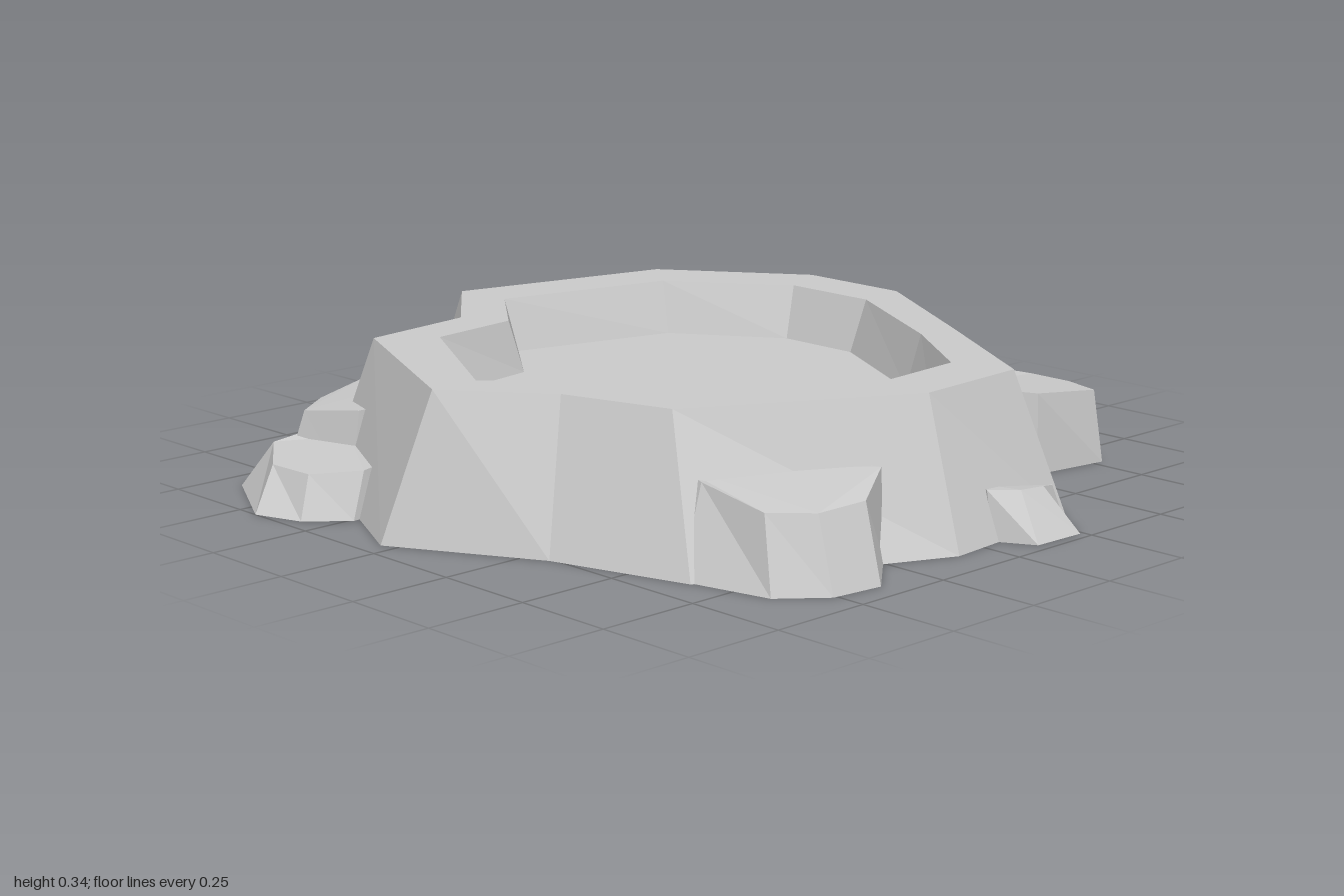
import * as THREE from 'three';

const material = new THREE.MeshStandardMaterial({ color: 0xcccccc, flatShading: true, side: THREE.DoubleSide });

// Skin a stack of rings (each a loop of [x, y, z]) and close the last one
function loft(name, rings) {
  const flat = ring => ring.map(([x, , z]) => new THREE.Vector2(x, z));
  if (THREE.ShapeUtils.area(flat(rings[0])) < 0) rings = rings.map(r => [...r].reverse());
  const n = rings[0].length, index = [];
  for (let r = 0; r < rings.length - 1; r++) {
    for (let i = 0; i < n; i++) {
      const a = r * n + i, b = r * n + (i + 1) % n;
      index.push(a, a + n, b + n, a, b + n, b);
    }
  }
  // Cap, with every triangle turned to face up
  const cap = flat(rings.at(-1)), start = (rings.length - 1) * n;
  for (const [a, b, c] of THREE.ShapeUtils.triangulateShape(cap, [])) {
    const up = cap[b].clone().sub(cap[a]).cross(cap[c].clone().sub(cap[a])) < 0;
    index.push(start + a, start + (up ? b : c), start + (up ? c : b));
  }
  let geometry = new THREE.BufferGeometry();
  geometry.setAttribute('position', new THREE.Float32BufferAttribute(rings.flat(2), 3));
  geometry.setIndex(index);
  geometry = geometry.toNonIndexed();
  geometry.computeVertexNormals();
  const mesh = new THREE.Mesh(geometry, material);
  mesh.name = name;
  return mesh;
}

const level = (y, points) => points.map(([x, z]) => [x, y, z]);

// Basin outlines as [x, z]
const base = [[-.95, -.04], [-.69, -.58], [-.26, -.76], [0, -.9], [.64, -.785], [.88, -.27],
  [.85, .08], [.59, .47], [.32, .87], [-.09, .905], [-.66, .65], [-.76, .31]];
const rim = [[-.835, .01], [-.6, -.5], [-.3, -.54], [-.09, -.79], [.47, -.66], [.71, -.32],
  [.71, -.02], [.475, .38], [.24, .77], [-.07, .79], [-.58, .51], [-.66, .24]];
const lip = [[-.71, .01], [-.48, -.4], [-.24, -.43], [-.075, -.64], [.375, -.535], [.575, -.255],
  [.575, 0], [.37, .37], [.19, .625], [-.055, .645], [-.47, .42], [-.54, .2]];
const floor = [[-.665, .01], [-.45, -.37], [-.21, -.41], [-.065, -.6], [.355, -.495], [.53, -.235],
  [.53, -.01], [.33, .36], [.18, .58], [-.045, .605], [-.445, .39], [-.505, .19]];

// Boulders; each corner is [base x, base z, top x, top z, top height]
const boulders = {
  frontRightBoulder: [[-.66, .62, -.58, .6, .2], [-.61, .84, -.58, .79, .17], [-.51, .925, -.5, .87, .17],
    [-.38, .94, -.355, .87, .17], [-.22, .8, -.21, .78, .2], [-.3, .58, -.3, .58, .21], [-.55, .5, -.55, .5, .21]],
  frontSmallBoulder: [[.05, .88, .05, .86, .115], [.1, .97, .12, .9, .11], [.24, .975, .21, .89, .1],
    [.31, .87, .29, .85, .08], [.25, .78, .25, .78, .1], [.07, .78, .07, .78, .115]],
  frontLeftBoulder: [[.52, .51, .5, .51, .21], [.57, .575, .57, .57, .2], [.78, .605, .765, .585, .18],
    [.845, .5, .81, .47, .175], [.845, .36, .81, .35, .175], [.66, .22, .66, .22, .21], [.45, .4, .45, .4, .21]],
  leftSmallBoulder: [[.81, .09, .79, .1, .08], [.93, .14, .87, .19, .1], [.94, .28, .86, .275, .115],
    [.865, .35, .79, .36, .12], [.7, .35, .7, .35, .12], [.7, .15, .7, .15, .12]],
  backLeftBoulder: [[.62, -.7, .565, -.7, .2], [.75, -.72, .68, -.69, .175], [.9, -.58, .84, -.53, .175],
    [1, -.4, .92, -.385, .175], [.94, -.27, .86, -.27, .2], [.7, -.28, .7, -.28, .21], [.55, -.5, .55, -.5, .21]],
  backSmallBoulder: [[.05, -.88, .05, -.87, .1], [.1, -.975, .11, -.91, .11], [.23, -.985, .27, -.91, .11],
    [.37, -.83, .34, -.79, .12], [.28, -.73, .28, -.73, .13], [.06, -.78, .06, -.78, .13]],
  backRightBoulder: [[-.79, -.62, -.75, -.58, .18], [-.64, -.76, -.62, -.69, .17], [-.48, -.855, -.39, -.8, .17],
    [-.26, -.77, -.25, -.72, .18], [-.2, -.58, -.2, -.58, .21], [-.58, -.4, -.58, -.4, .21], [-.74, -.42, -.71, -.42, .2]],
  rightSmallBoulder: [[-.87, -.675, -.82, -.61, .11], [-.78, -.64, -.76, -.6, .12], [-.68, -.5, -.68, -.5, .12],
    [-.76, -.25, -.76, -.25, .12], [-.87, -.24, -.83, -.25, .11], [-.96, -.32, -.92, -.34, .1], [-1, -.44, -.925, -.47, .1]],
};

export function createModel() {
  const group = new THREE.Group();
  group.name = 'rockBasin';

  // Sloping outer wall, flat rim, inner wall and floor, open underneath
  group.add(loft('basin', [level(0, base), level(.345, rim), level(.345, lip), level(.215, floor)]));

  // Boulders set into the outer wall
  for (const [name, corners] of Object.entries(boulders)) {
    group.add(loft(name, [
      corners.map(([x, z]) => [x, 0, z]),
      corners.map(([, , x, z, h]) => [x, h, z]),
    ]));
  }
  return group;
}
